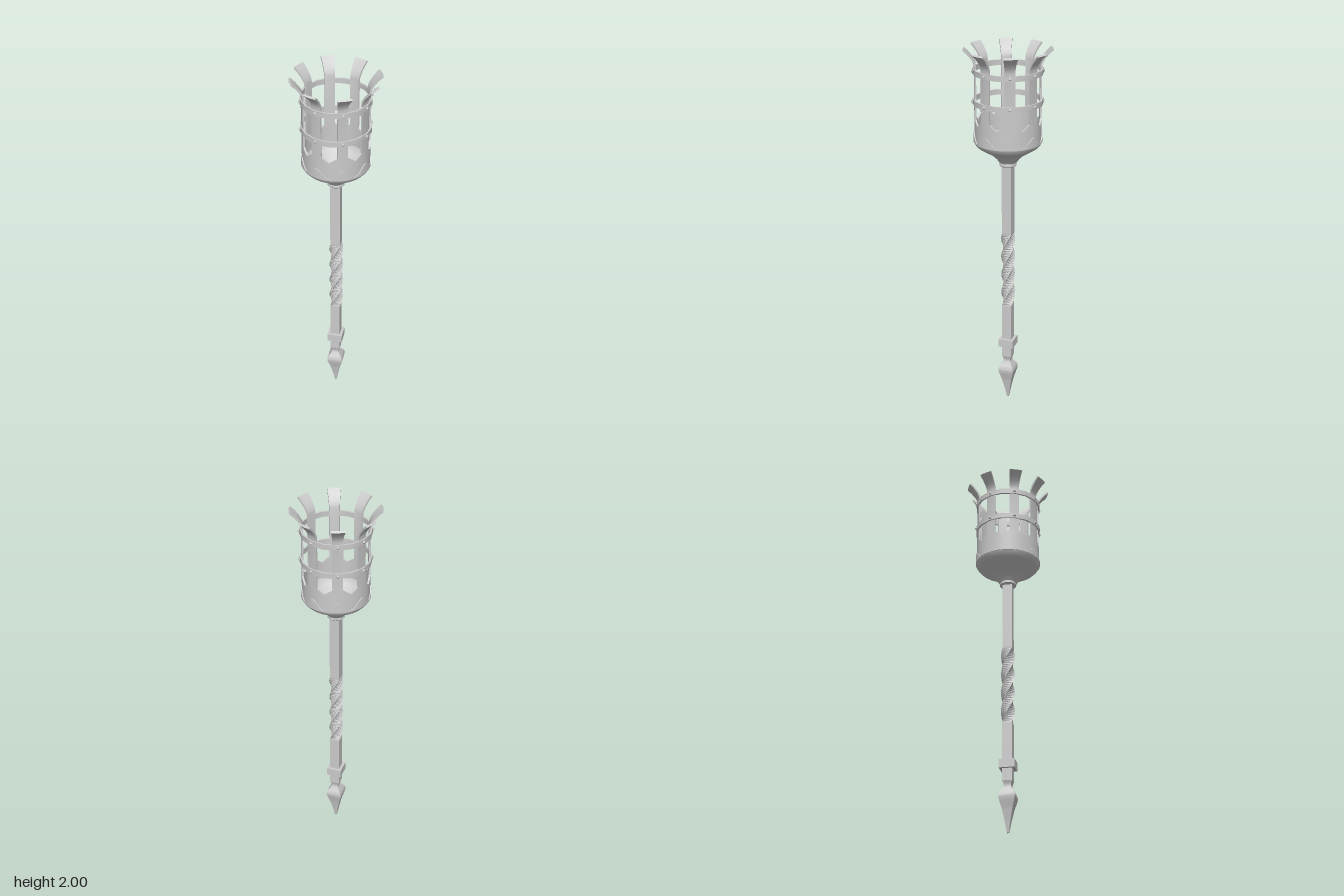
import * as THREE from 'three';
import { toCreasedNormals } from 'three/addons/utils/BufferGeometryUtils.js';

const SECTOR = Math.PI / 4;      // eight straps, eight windows
const STRAP = 0.155;             // half angle of a strap
const WINDOW = SECTOR / 2 - STRAP;

const material = new THREE.MeshStandardMaterial({ color: 0xcccccc });

function mesh(name, geometry, crease = 0.6) {
  const m = new THREE.Mesh(toCreasedNormals(geometry, crease), material);
  m.name = name;
  return m;
}

// Linear lookup in a list of [key, value]
function lookup(list, k) {
  for (let i = 1; i < list.length; i++) {
    const [a, va] = list[i - 1], [b, vb] = list[i];
    if (k <= b) return va + (vb - va) * Math.max(0, (k - a) / (b - a));
  }
  return list[list.length - 1][1];
}

// Square bar whose half width and turn depend on height
function squareBar(name, y0, y1, steps, half, turn = () => 0) {
  const g = new THREE.BoxGeometry(2, y1 - y0, 2, 1, steps, 1);
  g.translate(0, (y0 + y1) / 2, 0);
  const p = g.attributes.position;
  for (let i = 0; i < p.count; i++) {
    const y = p.getY(i), h = half(y), a = turn(y);
    const x = p.getX(i) * h, z = p.getZ(i) * h;
    p.setXYZ(i, x * Math.cos(a) + z * Math.sin(a), y, z * Math.cos(a) - x * Math.sin(a));
  }
  return mesh(name, g);
}

// Thick curved sheet around the axis: at(angle, row, side) gives [radius, y], side 0 = inner, 1 = outer
function curvedSheet(name, angles, rows, closed, at) {
  const pos = [];
  const point = (i, j, s) => {
    const a = angles[i % angles.length], [r, y] = at(a, j, s);
    return [r * Math.sin(a), y, r * Math.cos(a)];
  };
  const quad = (a, b, c, d) => pos.push(...a, ...b, ...c, ...a, ...c, ...d);
  const n = closed ? angles.length : angles.length - 1;
  for (let i = 0; i < n; i++) {
    for (let j = 0; j < rows; j++) {
      quad(point(i, j, 1), point(i + 1, j, 1), point(i + 1, j + 1, 1), point(i, j + 1, 1));
      quad(point(i + 1, j, 0), point(i, j, 0), point(i, j + 1, 0), point(i + 1, j + 1, 0));
    }
    quad(point(i, rows, 1), point(i + 1, rows, 1), point(i + 1, rows, 0), point(i, rows, 0));
    quad(point(i, 0, 0), point(i + 1, 0, 0), point(i + 1, 0, 1), point(i, 0, 1));
  }
  if (!closed) for (let j = 0; j < rows; j++) {
    quad(point(0, j, 0), point(0, j, 1), point(0, j + 1, 1), point(0, j + 1, 0));
    quad(point(n, j, 1), point(n, j, 0), point(n, j + 1, 0), point(n, j + 1, 1));
  }
  const g = new THREE.BufferGeometry();
  g.setAttribute('position', new THREE.Float32BufferAttribute(pos, 3));
  return mesh(name, g, 0.5);
}

const ring = n => Array.from({ length: n }, (_, i) => i * 2 * Math.PI / n);

function lathe(name, points, segments = 48) {
  return mesh(name, new THREE.LatheGeometry(points.map(p => new THREE.Vector2(...p)), segments));
}

export function createModel() {
  const torch = new THREE.Group();
  torch.name = 'torch';

  // Pointed foot, collar and shaft with one full twist
  const finial = [[0, 0.005], [0.06, 0.015], [0.12, 0.027], [0.165, 0.04], [0.185, 0.043],
    [0.205, 0.037], [0.23, 0.02], [0.245, 0.018], [0.265, 0.025]];
  torch.add(squareBar('pointedFoot', 0, 0.265, 30, y => lookup(finial, y)));
  torch.add(squareBar('footCollar', 0.33, 0.375, 1, () => 0.041));
  torch.add(squareBar('shaft', 0.265, 1.39, 107, () => 0.026,
    y => 2 * Math.PI * Math.min(1, Math.max(0, (y - 0.58) / 0.42))));

  // Round collar under the bowl
  torch.add(lathe('neckRing', [[0, 1.38], [0.04, 1.38], [0.045, 1.385], [0.045, 1.395],
    [0.04, 1.402], [0, 1.402]], 24));

  // Bowl, outside then inside
  torch.add(lathe('bowl', [[0, 1.4], [0.046, 1.4], [0.06, 1.42], [0.085, 1.444], [0.125, 1.469],
    [0.155, 1.487], [0.17, 1.503], [0.176, 1.52], [0.163, 1.524], [0.158, 1.51], [0.145, 1.494],
    [0.12, 1.478], [0.08, 1.452], [0.055, 1.425], [0.04, 1.412], [0, 1.412]]));

  // Scalloped lip, rising at each strap
  const edge = a => 1.546 - 0.023 * Math.cos(8 * a);
  torch.add(curvedSheet('scallopedLip', ring(96), 1, true,
    (a, j, s) => [s ? 0.177 : 0.166, j ? edge(a) : 1.515]));

  // Basket wall with a V notch under each window
  const wallAngles = [];
  for (let k = 0; k < 8; k++) {
    for (const t of [-1, -0.5, 0, 0.5, 1]) wallAngles.push(k * SECTOR + t * WINDOW);
    wallAngles.push((k + 0.5) * SECTOR);
  }
  const notch = a => {
    const off = Math.abs(a - Math.round(a / SECTOR) * SECTOR);
    return 1.612 + 0.028 * Math.min(1, off / WINDOW);
  };
  torch.add(curvedSheet('basketWall', wallAngles, 1, true,
    (a, j, s) => [s ? 0.172 : 0.163, j ? notch(a) : 1.515]));

  // Straps flaring out at the top, as inner and outer [radius, y] paths
  const inner = [[0.163, 1.635], [0.163, 1.915], [0.167, 1.932], [0.18, 1.955], [0.2, 1.98], [0.221, 2]];
  const outer = [[0.172, 1.635], [0.172, 1.91], [0.175, 1.925], [0.187, 1.947], [0.207, 1.972], [0.229, 1.993]];
  for (let k = 0; k < 8; k++) {
    const mid = (k + 0.5) * SECTOR;
    torch.add(curvedSheet('strap', [mid - STRAP, mid, mid + STRAP], 5, false,
      (a, j, s) => (s ? outer : inner)[j]));
  }

  // Two hoops with a rivet on every strap
  for (const y of [1.728, 1.885]) {
    torch.add(curvedSheet('hoop', ring(16), 1, true,
      (a, j, s) => [s ? 0.18 : 0.171, y + (j ? 0.014 : -0.014)]));
    for (let k = 0; k < 8; k++) {
      const a = (k + 0.5) * SECTOR;
      const rivet = mesh('rivet', new THREE.SphereGeometry(0.008, 10, 6));
      rivet.position.set(0.179 * Math.sin(a), y, 0.179 * Math.cos(a));
      torch.add(rivet);
    }
  }
  return torch;
}
